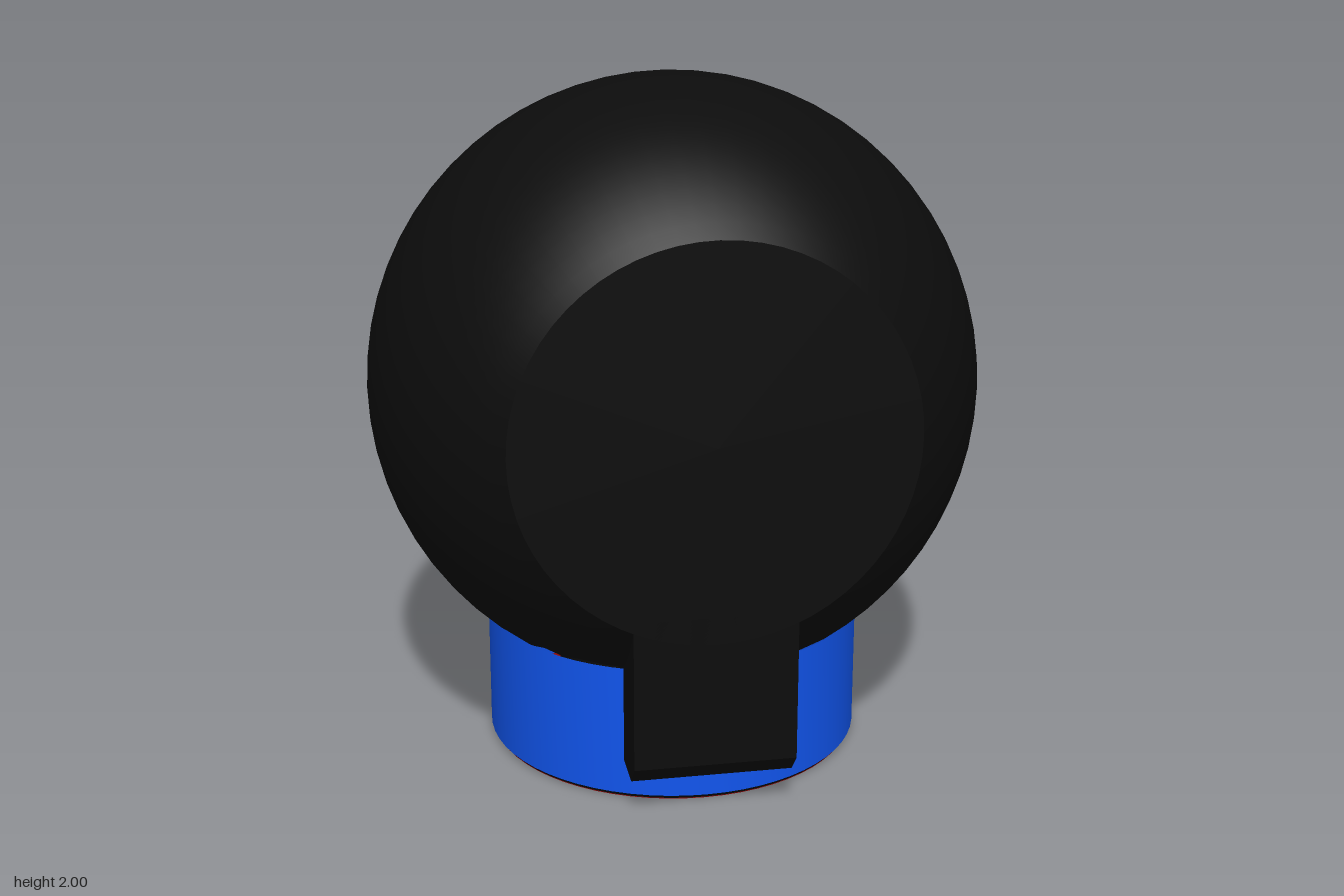
import * as THREE from 'three';
import { toCreasedNormals } from 'three/addons/utils/BufferGeometryUtils.js';

const mat = (color) => new THREE.MeshStandardMaterial({ color, side: THREE.DoubleSide });
const black = mat(0x0c0c0c), blue = mat(0x1155ee), red = mat(0x8a0a0a);

const CY = 1.105, CZ = 0.085, R = 0.895;   // ball centre and radius
const RING = 0.56, HOLE = 0.345, NECK = 0.4; // base ring radii and height

const lathe = (pts, segs) => new THREE.LatheGeometry(pts.map(([x, y]) => new THREE.Vector2(x, y)), segs);

// Applies a rule to each vertex
function deform(geo, rule) {
  const p = geo.attributes.position, v = new THREE.Vector3();
  for (let i = 0; i < p.count; i++) {
    v.fromBufferAttribute(p, i);
    rule(v);
    p.setXYZ(i, v.x, v.y, v.z);
  }
  return geo;
}

// Ball turned about z, cut flat at front, back and neck
function ballGeometry() {
  const pts = [[0, -0.865]], n = 36;
  const a0 = Math.acos(0.865 / R), a1 = Math.PI - Math.acos(0.695 / R);
  for (let i = 0; i <= n; i++) {
    const a = a0 + (a1 - a0) * i / n;
    pts.push([R * Math.sin(a), -R * Math.cos(a)]);
  }
  pts.push([0, 0.695]);
  const geo = lathe(pts, 64).rotateX(Math.PI / 2).translate(0, CY, CZ);
  deform(geo, (v) => { v.y = Math.max(v.y, NECK); });
  return toCreasedNormals(geo, 0.4);
}

// Round boss on the back with a rounded rim, flaring softly into the ball
function bossGeometry() {
  const r = 0.47, f = 0.2, cx = 0.38, pts = [[0, -0.78]];
  for (let i = 0; i <= 10; i++) {
    const a = (i / 10) * Math.PI / 2;
    pts.push([r - f + f * Math.sin(a), -0.78 + f - f * Math.cos(a)]);
  }
  for (let i = 1; i <= 16; i++) pts.push([r, -0.58 + 0.6 * i / 16]);
  const geo = lathe(pts, 64).rotateX(Math.PI / 2);
  const centre = new THREE.Vector3(-cx, 0, CZ), d = new THREE.Vector3();
  deform(geo, (v) => {
    const rad = Math.hypot(v.x, v.y);
    if (rad < r - 0.04) return;
    d.subVectors(v, centre);
    const gap = Math.max(0, d.length() - R);
    const facing = (d.x * v.x + d.y * v.y) / (rad * d.length());
    const push = 0.08 * (1 - facing) * Math.max(0, 1 - gap / 0.12) ** 2;
    v.x *= 1 + push / rad;
    v.y *= 1 + push / rad;
  });
  geo.translate(cx, CY, 0);
  geo.computeVertexNormals();
  return toCreasedNormals(geo, 0.6);
}

// Clip with a chamfered lower outer edge; side is +1 front, -1 back
function clipGeometry(outer, inner, top, side) {
  const profile = [[outer, top], [outer, 0.18], [outer - 0.055, 0.12], [inner, 0.12], [inner, top]];
  const shape = new THREE.Shape(profile.map(([z, y]) => new THREE.Vector2(z, y)));
  const geo = new THREE.ExtrudeGeometry(shape, { depth: 0.46, bevelEnabled: false });
  return geo.translate(0, 0, -0.23).rotateY(-side * Math.PI / 2);
}

// Red underside with a ring of screw holes
function plateGeometry() {
  const shape = new THREE.Shape().absarc(0, 0, RING - 0.012, 0, Math.PI * 2);
  const cut = (x, y, r) => shape.holes.push(new THREE.Path().absarc(x, y, r, 0, Math.PI * 2, true));
  cut(0, 0, HOLE);
  for (let i = 0; i < 12; i++) {
    const a = (i + 0.5) * Math.PI / 6;
    cut(0.445 * Math.cos(a), 0.445 * Math.sin(a), 0.027);
  }
  const geo = new THREE.ExtrudeGeometry(shape, { depth: 0.03, bevelEnabled: false, curveSegments: 32 });
  return geo.rotateX(Math.PI / 2).translate(0, 0.03, CZ);
}

export function createModel() {
  const model = new THREE.Group();
  const add = (name, geo, material) => {
    const mesh = new THREE.Mesh(geo, material);
    mesh.name = name;
    model.add(mesh);
  };
  const turned = (pts) => toCreasedNormals(lathe(pts, 64).translate(0, 0, CZ), 0.4);

  add('ball', ballGeometry(), black);
  add('backBoss', bossGeometry(), black);
  add('frontClip', clipGeometry(0.78, 0.5, 0.62, 1), black);
  add('backClip', clipGeometry(0.6, 0.3, 0.6, -1), black);

  // Base ring: blue sleeve, dark lower rim, dark bore and red plate
  add('baseSleeve', turned([[RING, 0.015], [RING, NECK + 0.005]]), blue);
  add('baseRim', turned([[RING - 0.014, 0], [RING, 0.015]]), black);
  add('baseBore', turned([[HOLE, NECK], [HOLE, 0.002]]), black);
  add('holeFloor', turned([[HOLE, 0.028], [RING - 0.01, 0.028]]), black);
  add('basePlate', plateGeometry(), red);
  return model;
}
